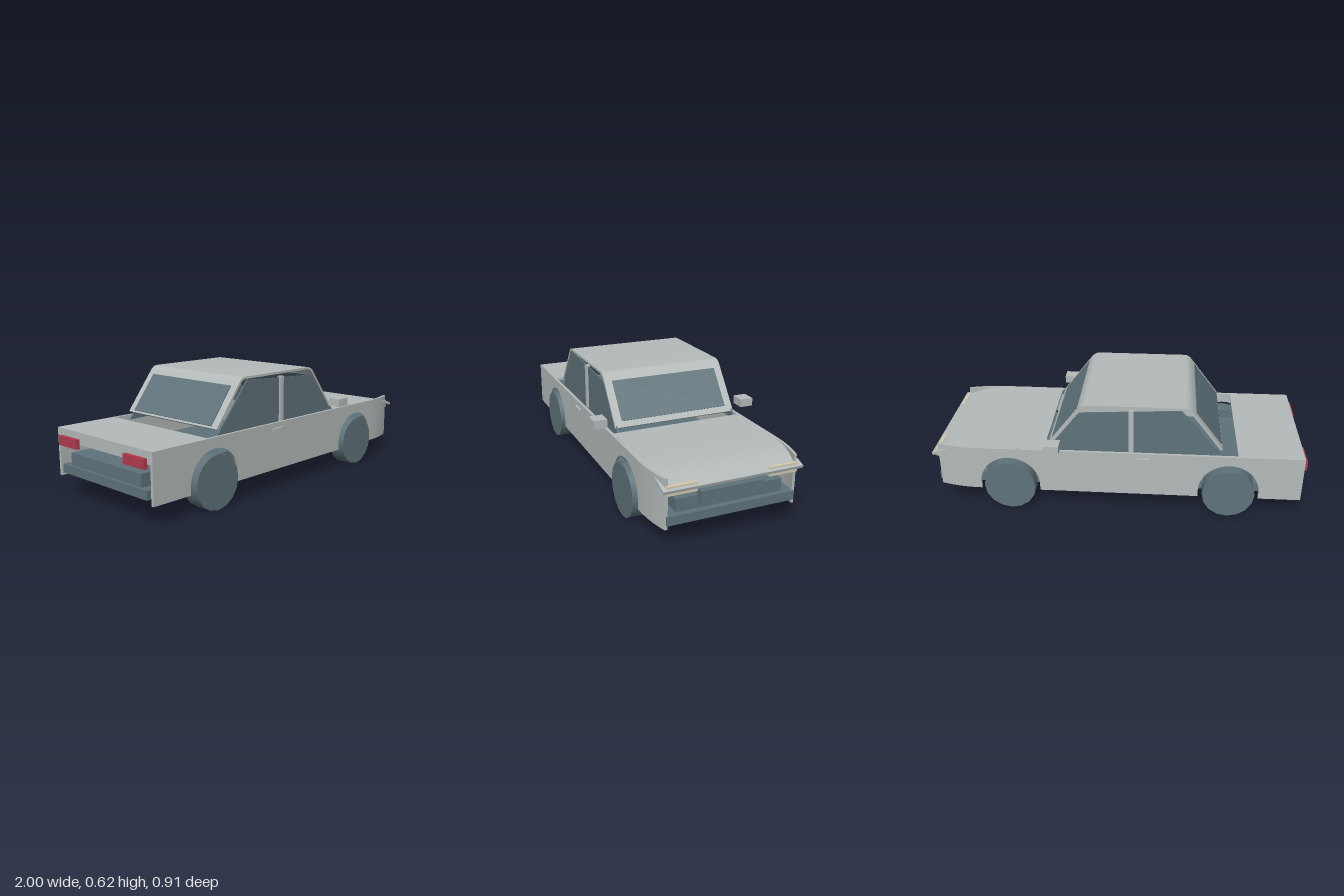
import * as THREE from 'three';
import { toCreasedNormals } from 'three/addons/utils/BufferGeometryUtils.js';

const material = (name, color) => {
  const m = new THREE.MeshStandardMaterial({ color });
  m.name = name;
  return m;
};

export function createModel() {
  const body = material('body grey', 0xb4bbba);
  const dark = material('dark blue grey', 0x5f737a);
  const cream = material('headlight cream', 0xd2caae);
  const red = material('tail light red', 0xb23a50);

  const car = new THREE.Group();
  car.name = 'car';

  const add = (name, geometry, mat, x = 0, y = 0, z = 0) => {
    const mesh = new THREE.Mesh(geometry, mat);
    mesh.name = name;
    mesh.position.set(x, y, z);
    car.add(mesh);
    return mesh;
  };

  // Box given by its extents along each axis
  const box = (name, mat, [x0, x1], [y0, y1], [z0, z1]) =>
    add(name, new THREE.BoxGeometry(x1 - x0, y1 - y0, z1 - z0), mat,
      (x0 + x1) / 2, (y0 + y1) / 2, (z0 + z1) / 2);

  // Same box on both sides of the car
  const boxPair = (name, mat, xs, ys, [z0, z1]) => {
    box(name + 'Left', mat, xs, ys, [z0, z1]);
    box(name + 'Right', mat, xs, ys, [-z1, -z0]);
  };

  const extrude = (shape, depth) =>
    new THREE.ExtrudeGeometry(shape, { depth, bevelEnabled: false, curveSegments: 16 });

  // Bent sheet: a side profile thickened downwards and swept across the car
  const sheet = (name, points, thickness, halfWidth) => {
    const inner = points.map((p, i) => {
      const a = points[Math.max(i - 1, 0)];
      const b = points[Math.min(i + 1, points.length - 1)];
      const t = b.clone().sub(a).normalize();
      return new THREE.Vector2(p.x + t.y * thickness, p.y - t.x * thickness);
    });
    const g = extrude(new THREE.Shape([...points, ...inner.reverse()]), halfWidth * 2);
    g.translate(0, 0, -halfWidth);
    return add(name, toCreasedNormals(g, 0.5), body);
  };

  // Floor and inner body
  box('floor', dark, [-0.985, 0.98], [0.13, 0.175], [-0.333, 0.333]);
  box('innerBody', dark, [-0.97, 0.95], [0.175, 0.24], [-0.278, 0.278]);
  box('grille', dark, [0.93, 0.977], [0.195, 0.267], [-0.163, 0.163]);

  // Side panels with wheel arches, and fenders that curve in at the nose
  const bottom = 0.108, top = 0.36, split = 0.75, nose = 0.97, skin = 0.015;
  const axles = [-0.595, 0.58], archRadius = 0.161, archY = 0.145;
  const side = new THREE.Shape();
  side.moveTo(-0.98, top);
  side.lineTo(-0.98, bottom);
  for (const x of axles) {
    side.lineTo(x - archRadius, bottom);
    side.lineTo(x - archRadius, archY);
    side.absarc(x, archY, archRadius, Math.PI, 0, true);
    side.lineTo(x + archRadius, bottom);
  }
  side.lineTo(split, bottom);
  side.lineTo(split, top);
  side.closePath();
  const sideGeometry = extrude(side, skin);

  for (const [label, s] of [['Left', 1], ['Right', -1]]) {
    add('sidePanel' + label, sideGeometry, body, 0, 0, s > 0 ? 0.358 : -0.373);

    const fender = new THREE.BoxGeometry(nose - split, top - bottom, skin, 8, 1, 1);
    fender.translate((split + nose) / 2, (top + bottom) / 2, s * 0.3655);
    const p = fender.attributes.position;
    for (let i = 0; i < p.count; i++) {
      const t = (p.getX(i) - split) / (nose - split);
      p.setZ(i, p.getZ(i) - s * 0.033 * t * t);
    }
    fender.computeVertexNormals();
    add('frontFender' + label, fender, body);
  }

  // Bonnet, drooping towards the nose
  const bonnet = new THREE.SplineCurve([[0.39, 0.361], [0.6, 0.361], [0.76, 0.359],
    [0.88, 0.347], [1.0, 0.312]].map(([x, y]) => new THREE.Vector2(x, y)));
  sheet('bonnet', bonnet.getPoints(20), 0.015, 0.36);

  // Boot lid and its rear lip
  box('bootLid', body, [-0.98, -0.635], [0.345, 0.36], [-0.36, 0.36]);
  box('bootLip', body, [-0.98, -0.965], [0.297, 0.345], [-0.358, 0.358]);

  // Roof band running from the rear window over to the windscreen
  const roof = new THREE.Path();
  roof.moveTo(-0.553, 0.385);
  roof.lineTo(-0.39, 0.598);
  roof.quadraticCurveTo(-0.373, 0.62, -0.345, 0.62);
  roof.lineTo(0.15, 0.62);
  roof.quadraticCurveTo(0.182, 0.62, 0.203, 0.593);
  roof.lineTo(0.37, 0.378);
  sheet('roof', roof.getPoints(8), 0.012, 0.34);

  // Sloped glass set into the roof band, visible from both faces
  const slopedGlass = (name, x0, y0, x1, y1) => {
    const g = new THREE.BoxGeometry(Math.hypot(x1 - x0, y1 - y0), 0.02, 0.596);
    const m = add(name, g, dark, (x0 + x1) / 2, (y0 + y1) / 2);
    m.rotation.z = Math.atan2(y1 - y0, x1 - x0);
  };
  slopedGlass('rearWindow', -0.542, 0.39, -0.402, 0.573);
  slopedGlass('windscreen', 0.208, 0.576, 0.345, 0.4);

  // Side windows
  const windowShape = new THREE.Shape([[-0.555, 0.34], [0.405, 0.34], [0.385, 0.362],
    [0.225, 0.545], [0.185, 0.574], [-0.33, 0.602]].map(([x, y]) => new THREE.Vector2(x, y)));
  const windowGeometry = extrude(windowShape, 0.008);
  add('sideWindowLeft', windowGeometry, dark, 0, 0, 0.329);
  add('sideWindowRight', windowGeometry, dark, 0, 0, -0.337);

  // Door pillars, handles and mirrors
  boxPair('doorPillar', body, [-0.085, -0.06], [0.35, 0.595], [0.325, 0.348]);
  boxPair('doorHandle', body, [-0.175, -0.1], [0.321, 0.334], [0.37, 0.386]);
  boxPair('mirror', body, [0.295, 0.375], [0.392, 0.435], [0.385, 0.457]);

  // Lamps
  boxPair('headlight', cream, [0.966, 0.986], [0.28, 0.325], [0.185, 0.337]);
  boxPair('tailLight', red, [-1.0, -0.98], [0.276, 0.325], [0.185, 0.337]);

  // Wheels
  const wheel = new THREE.CylinderGeometry(0.14, 0.14, 0.095, 16);
  wheel.rotateX(Math.PI / 2);
  for (const [end, x] of [['rear', axles[0]], ['front', axles[1]]]) {
    add(end + 'WheelLeft', wheel, dark, x, 0.14, 0.344);
    add(end + 'WheelRight', wheel, dark, x, 0.14, -0.344);
  }

  return car;
}
